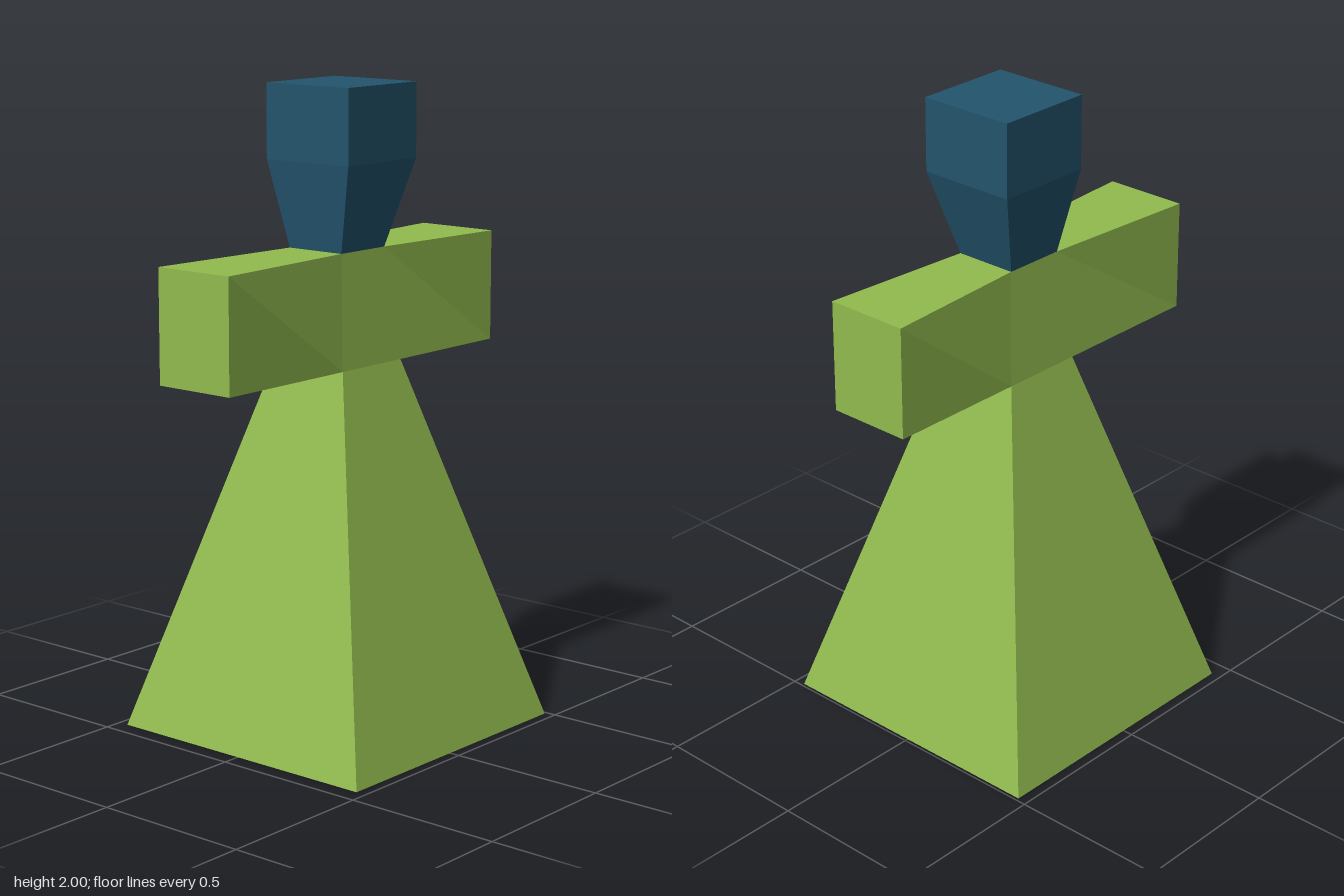
import * as THREE from 'three';

const green = new THREE.MeshStandardMaterial({ name: 'leaf green', color: 0x92bb4f });
const blue = new THREE.MeshStandardMaterial({ name: 'deep blue', color: 0x23546d });

// Joins four-cornered rings into a flat-sided solid; rings run counterclockwise seen from the far end
function loft(name, material, rings, capStart, capEnd) {
  const points = [];
  const quad = (a, b, c, d) => points.push(...a, ...b, ...c, ...a, ...c, ...d);
  for (let i = 0; i < rings.length - 1; i++) {
    for (let j = 0; j < 4; j++) {
      const k = (j + 1) % 4;
      quad(rings[i][j], rings[i][k], rings[i + 1][k], rings[i + 1][j]);
    }
  }
  if (capStart) quad(...[...rings[0]].reverse());
  if (capEnd) quad(...rings[rings.length - 1]);
  const geometry = new THREE.BufferGeometry();
  geometry.setAttribute('position', new THREE.Float32BufferAttribute(points, 3));
  geometry.computeVertexNormals();
  const mesh = new THREE.Mesh(geometry, material);
  mesh.name = name;
  return mesh;
}

// Horizontal rectangle
const level = (y, x, back, front) => [[-x, y, front], [x, y, front], [x, y, back], [-x, y, back]];

// Upright cross-section of the arms
const section = (xLow, zLow, xHigh, zHigh) => [
  [-xLow, 1.153, zLow], [xLow, 1.153, zLow], [xHigh, 1.502, zHigh], [-xHigh, 1.502, zHigh],
];

export function createModel() {
  const model = new THREE.Group();
  model.name = 'figure';

  // Flared body
  model.add(loft('body', green, [
    level(0, 0.467, -0.49, 0.444),
    level(1.153, 0.137, -0.16, 0.115),
  ], true, false));

  // Arms and chest, pinched at the shoulders
  model.add(loft('armsAndChest', green, [
    section(0.137, -0.618, 0.137, -0.618),
    section(0.137, -0.16, 0.102, -0.122),
    section(0.137, 0.115, 0.102, 0.08),
    section(0.137, 0.616, 0.137, 0.616),
  ], true, true));

  // Head, tapering to the neck
  model.add(loft('head', blue, [
    level(1.502, 0.102, -0.122, 0.08),
    level(1.77, 0.16, -0.202, 0.118),
    level(2, 0.16, -0.202, 0.118),
  ], false, true));

  return model;
}
